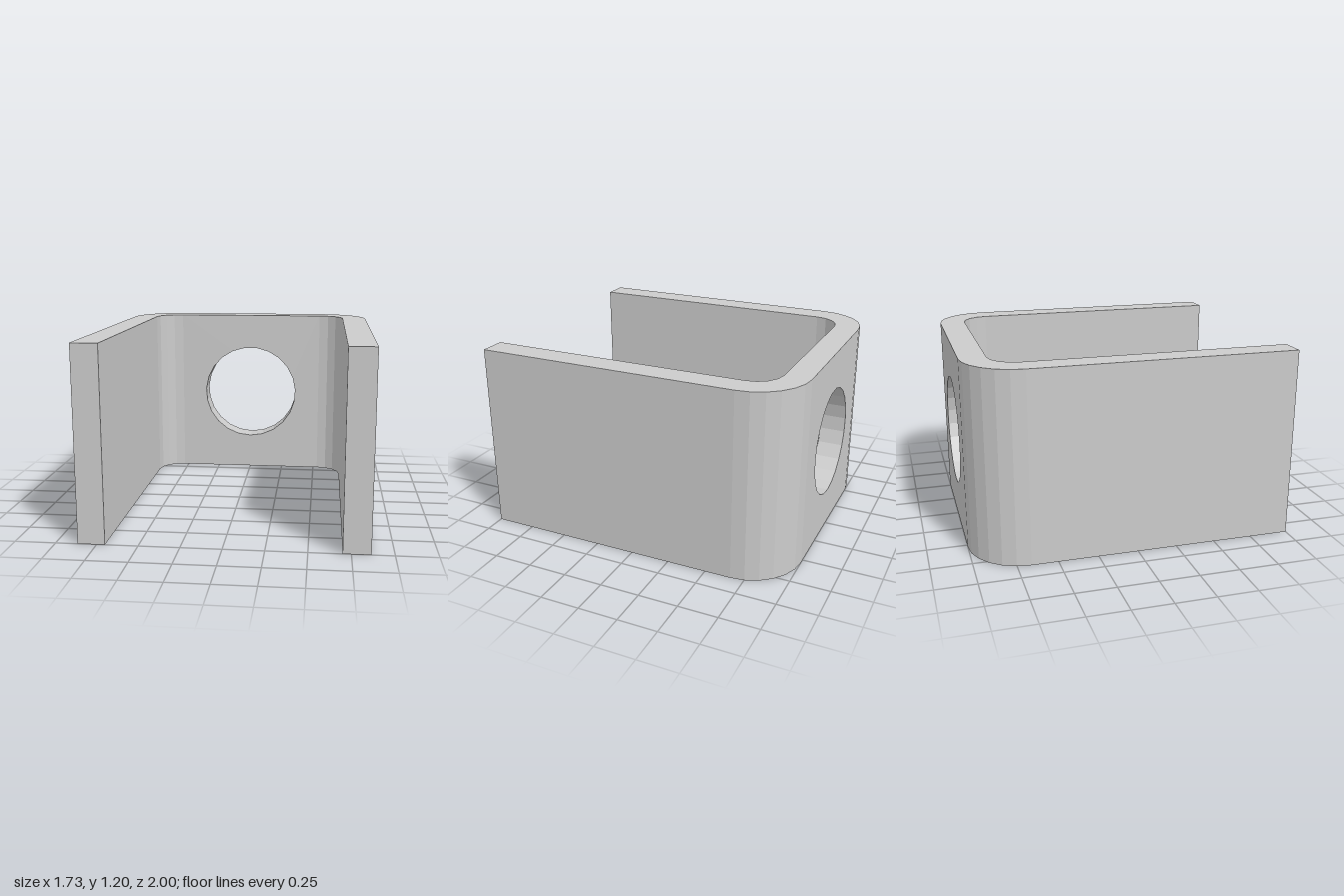
import * as THREE from 'three';
import { mergeGeometries } from 'three/addons/utils/BufferGeometryUtils.js';

const H = 1.2, OUTER = 0.865, INNER = 0.7, T = OUTER - INNER;
const BEND_X = 0.53, BEND_Z = -1 + OUTER - BEND_X; // centre of the corner bends

// Points on a circular arc, angles in turns
function arc(cx, cy, r, from, to, segments) {
  return Array.from({ length: segments + 1 }, (_, i) => {
    const a = (from + (to - from) * i / segments) * Math.PI * 2;
    return new THREE.Vector2(cx + r * Math.cos(a), cy + r * Math.sin(a));
  });
}

const extrude = (shape, depth) => new THREE.ExtrudeGeometry(shape, { depth, bevelEnabled: false });

// Drop the faces on the seams where the back plate meets the bends
function openSeams(geometry) {
  const p = geometry.attributes.position, kept = [];
  const onSeam = (i) => Math.abs(Math.abs(p.getX(i)) - BEND_X) < 1e-5;
  for (let i = 0; i < p.count; i += 3) {
    const k = [i, i + 1, i + 2];
    const flatX = Math.abs(p.getX(i) - p.getX(i + 1)) + Math.abs(p.getX(i) - p.getX(i + 2)) < 1e-5;
    if (flatX && k.every(onSeam)) continue;
    for (const j of k) kept.push(p.getX(j), p.getY(j), p.getZ(j));
  }
  const g = new THREE.BufferGeometry();
  g.setAttribute('position', new THREE.Float32BufferAttribute(kept, 3));
  g.computeVertexNormals();
  return g;
}

// Side wall with its rounded corner, drawn in plan and raised to full height
function sideWall(side) {
  const plan = [
    new THREE.Vector2(INNER, -1), new THREE.Vector2(OUTER, -1),
    ...arc(BEND_X, -BEND_Z, OUTER - BEND_X, 0, 0.25, 6),
    ...arc(BEND_X, -BEND_Z, INNER - BEND_X, 0.25, 0, 4),
  ];
  plan.forEach((v) => { v.x *= side; });
  return extrude(new THREE.Shape(plan), H).rotateX(-Math.PI / 2);
}

// Back plate with a 23-sided round hole
function backPlate() {
  const shape = new THREE.Shape([[-1, 0], [1, 0], [1, H], [-1, H]]
    .map(([x, y]) => new THREE.Vector2(x * BEND_X, y)));
  const rim = arc(0, H / 2, 0.35, -0.25, 0.75, 23).slice(0, -1);
  shape.holes.push(new THREE.Path(rim));
  return extrude(shape, T).translate(0, 0, -1);
}

export function createModel() {
  const group = new THREE.Group();
  group.name = 'uBracket';
  const parts = [sideWall(-1), backPlate(), sideWall(1)].map(openSeams);
  const material = new THREE.MeshStandardMaterial({ color: 0xcccccc, flatShading: true });
  const bracket = new THREE.Mesh(mergeGeometries(parts), material);
  bracket.name = 'bentPlate';
  group.add(bracket);
  return group;
}
